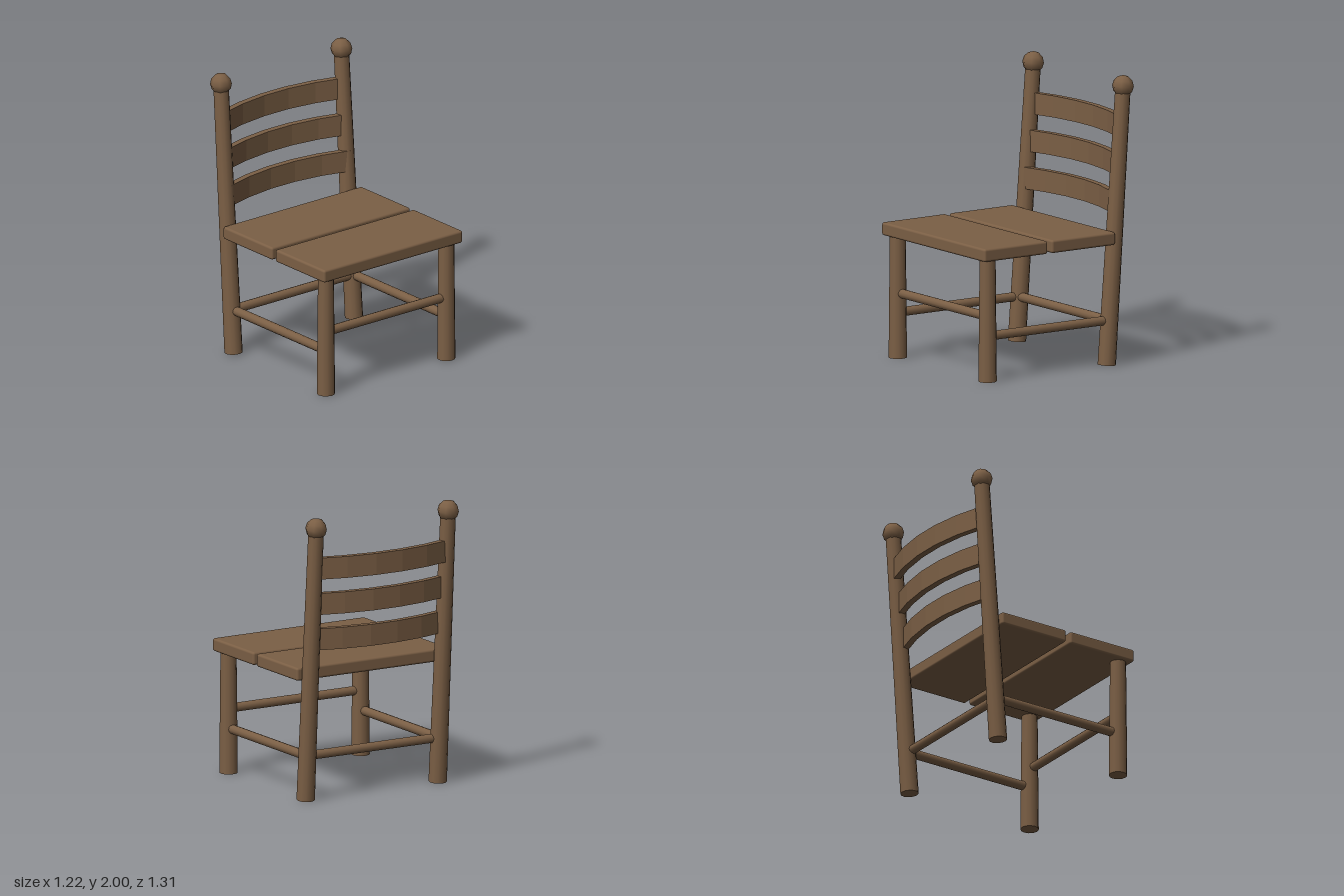
import * as THREE from 'three';
import { RoundedBoxGeometry } from 'three/addons/geometries/RoundedBoxGeometry.js';

export function createModel() {
  const chair = new THREE.Group();
  chair.name = 'ladderBackChair';
  const wood = new THREE.MeshStandardMaterial({ color: 0x7b5f45 });
  wood.name = 'brown wood';

  const add = (name, geometry, x = 0, y = 0, z = 0) => {
    const mesh = new THREE.Mesh(geometry, wood);
    mesh.name = name;
    mesh.position.set(x, y, z);
    chair.add(mesh);
    return mesh;
  };

  // Round pole from a to b, tapering from r0 to r1
  const pole = (name, a, b, r0, r1 = r0) => {
    const start = new THREE.Vector3(...a);
    const dir = new THREE.Vector3(...b).sub(start);
    const mesh = add(name, new THREE.CylinderGeometry(r1, r0, dir.length(), 12));
    mesh.position.copy(start).addScaledVector(dir, 0.5);
    mesh.quaternion.setFromUnitVectors(new THREE.Vector3(0, 1, 0), dir.normalize());
    return mesh;
  };

  // Legs, finials and side rungs, mirrored
  const legX = 0.53;
  for (const [side, s] of [['left', 1], ['right', -1]]) {
    const x = s * legX;
    pole(side + 'FrontLeg', [x, 0, 0.57], [x, 0.86, 0.57], 0.063, 0.055);
    pole(side + 'BackPost', [x, 0.005, -0.425], [x, 1.9, -0.559], 0.063, 0.053);
    add(side + 'Finial', new THREE.SphereGeometry(0.075, 8, 6), x, 1.925, -0.56).rotation.x = -0.07;
    pole(side + 'Rung', [x, 0.313, 0.57], [x, 0.313, -0.44], 0.032);
  }
  pole('frontRung', [-legX, 0.45, 0.57], [legX, 0.45, 0.57], 0.032);
  pole('backRung', [-legX, 0.313, -0.435], [legX, 0.313, -0.435], 0.032);

  // Two seat planks
  add('frontSeatPlank', new RoundedBoxGeometry(1.22, 0.09, 0.53, 3, 0.016), 0, 0.89, 0.386);
  add('backSeatPlank', new RoundedBoxGeometry(1.22, 0.09, 0.53, 3, 0.016), 0, 0.89, -0.178);

  // Bowed back slats: five straight facets, outline drawn in plan and extruded upward
  const steps = [0, 1, 2, 3, 4, 5];
  const bow = (i) => [legX * (i / 2.5 - 1), 0.36 * (i / 5) * (1 - i / 5)];
  const outline = [
    ...steps.map((i) => new THREE.Vector2(bow(i)[0], bow(i)[1] - 0.023)),
    ...steps.reverse().map((i) => new THREE.Vector2(bow(i)[0], bow(i)[1] + 0.023)),
  ];
  const slatGeometry = new THREE.ExtrudeGeometry(new THREE.Shape(outline), { depth: 0.15, bevelEnabled: false });
  slatGeometry.rotateX(-Math.PI / 2);
  const slats = [['lowerSlat', 1.06, -0.476], ['middleSlat', 1.315, -0.511], ['upperSlat', 1.57, -0.546]];
  for (const [name, y, z] of slats) add(name, slatGeometry, 0, y, z);

  return chair;
}
